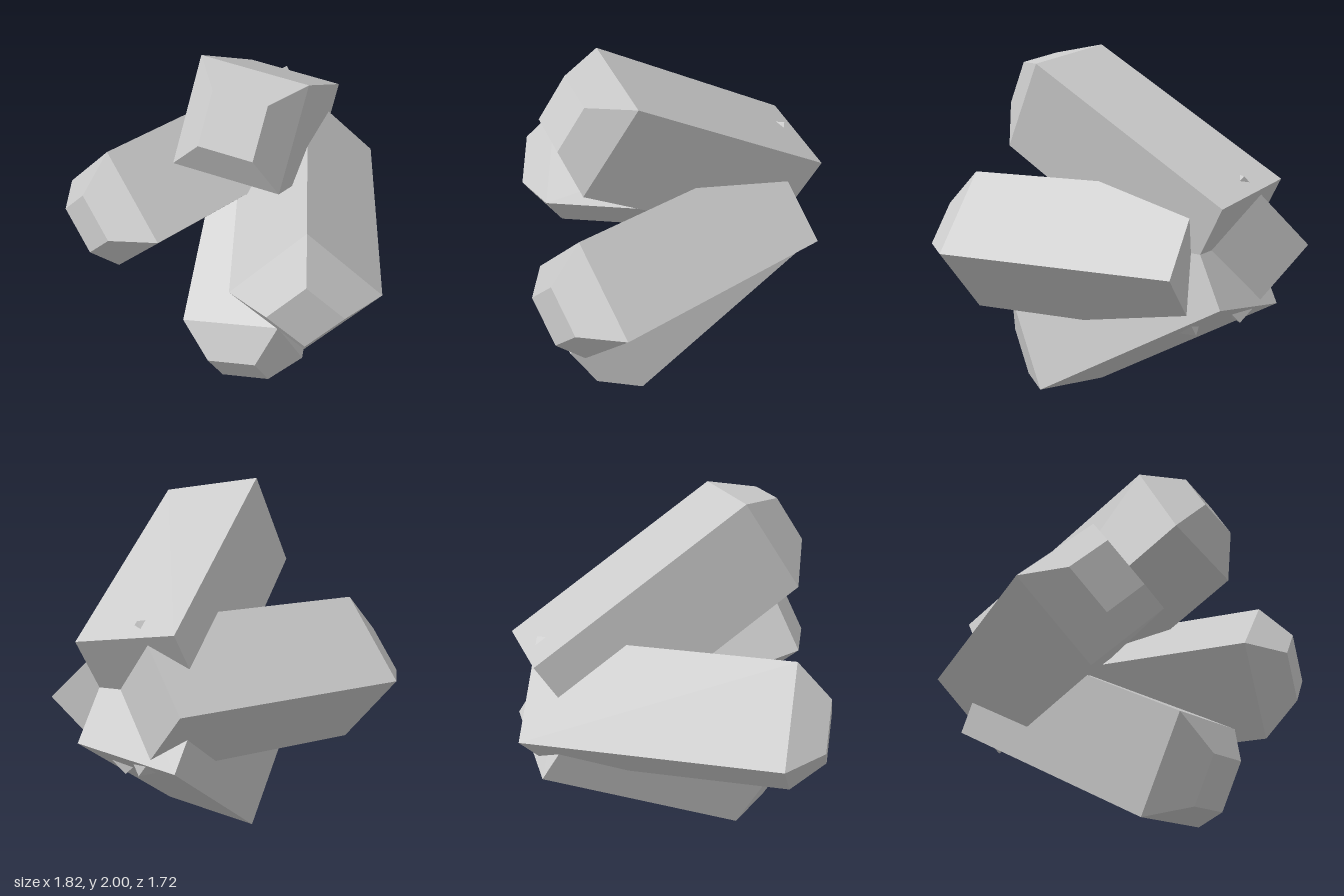
import * as THREE from 'three';

const RADIUS = 0.389, SHAFT = 1.32, TIP = 0.18;

// Four-sided shaft with a flat base and a truncated pyramid tip, growing along +y
function crystalGeometry() {
  const profile = [
    [0, 0],
    [RADIUS, 0],
    [RADIUS, SHAFT],
    [RADIUS / 2, SHAFT + TIP],
    [0, SHAFT + TIP],
  ].map(([r, y]) => new THREE.Vector2(r, y));
  const geometry = new THREE.LatheGeometry(profile, 4).toNonIndexed();
  geometry.computeVertexNormals();
  return geometry;
}

export function createModel() {
  const group = new THREE.Group();
  group.name = 'crystalCluster';
  const geometry = crystalGeometry();
  const material = new THREE.MeshStandardMaterial({ color: 0xcccccc, flatShading: true });

  // base: centre of the flat end, axis: growth direction, corner: direction of one edge of the shaft
  const crystals = [
    { name: 'rightCrystal', base: [-0.525, 0.987, -0.64], axis: [0, 0, 1], corner: [1, 0, 0] },
    { name: 'leftCrystal', base: [-0.298, 0.925, -0.588], axis: [1, 0, 1], corner: [0, 1, 0] },
    { name: 'upperCrystal', base: [-0.495, 1.065, -0.583], axis: [1, 1, Math.SQRT2], corner: [-1, 1, 0] },
    { name: 'lowerCrystal', base: [-0.495, 0.94, -0.583], axis: [1, -1, Math.SQRT2], corner: [1, 1, 0] },
  ];

  for (const { name, base, axis, corner } of crystals) {
    const y = new THREE.Vector3(...axis).normalize();
    const x = new THREE.Vector3(...corner).normalize();
    const z = new THREE.Vector3().crossVectors(x, y);
    const crystal = new THREE.Mesh(geometry, material);
    crystal.name = name;
    crystal.quaternion.setFromRotationMatrix(new THREE.Matrix4().makeBasis(x, y, z));
    crystal.position.set(...base);
    group.add(crystal);
  }
  return group;
}
